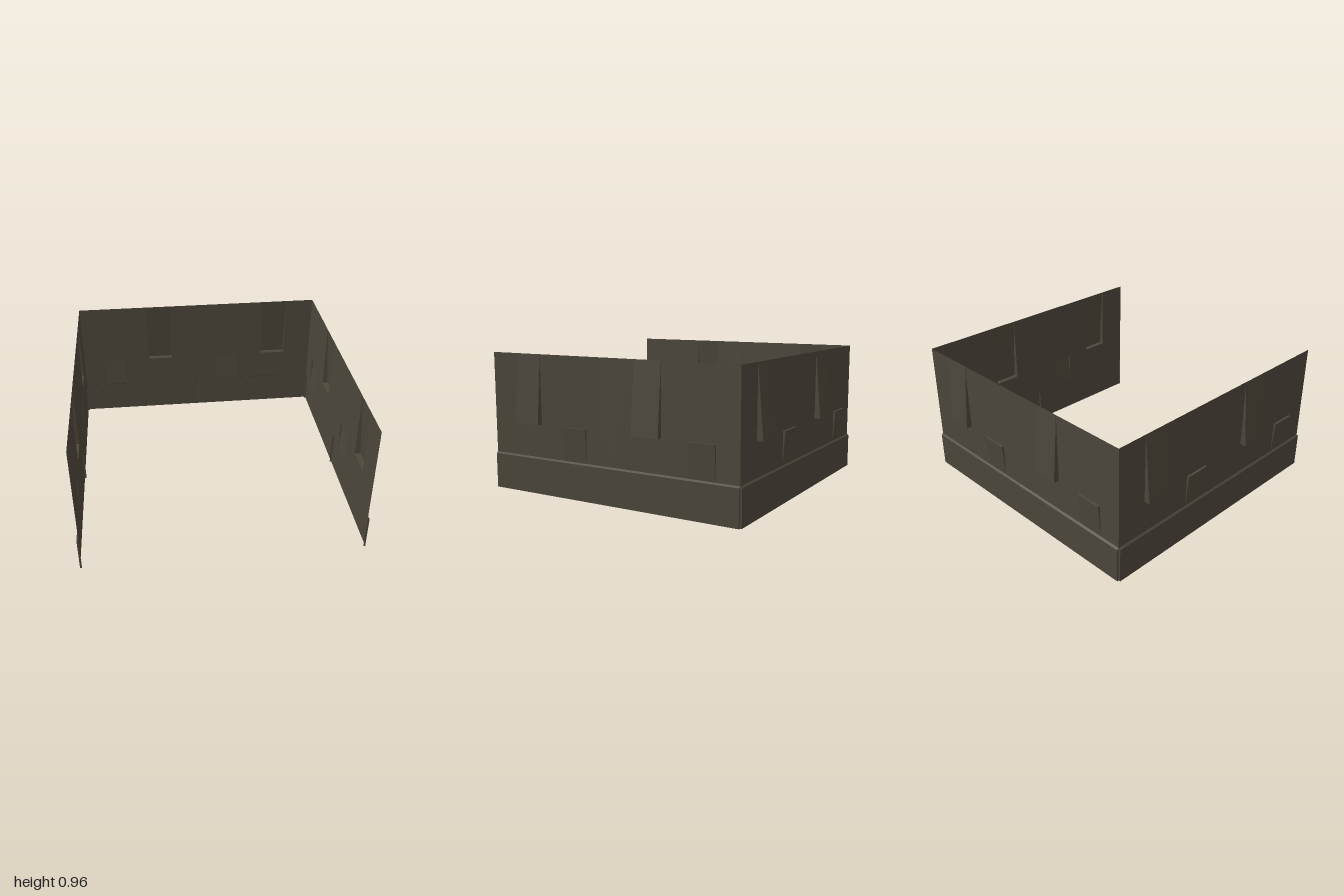
import * as THREE from 'three';

const PANEL = 0.958;    // length of one panel, two per wall
const TOP = 0.96;       // top edge of the sheet
const STEP = 0.255;     // bottom of the upper sheet, top of the skirt
const MID = 0.484;      // level where the louvres open
const SKIRT = 0.013;    // outward offset of the skirt
const BACK = -0.94;     // plane of the back wall
const tall = { u0: 0.54, u1: 0.738, tip: TOP, out: 0.041 };
const small = { u0: 0.16, u1: 0.343, tip: STEP, out: 0.017 };

// Flat faces (triangles or quads) from lists of corner points
function faces(list) {
  const pos = [];
  for (const f of list) {
    for (let i = 1; i < f.length - 1; i++) pos.push(...f[0], ...f[i], ...f[i + 1]);
  }
  const g = new THREE.BufferGeometry();
  g.setAttribute('position', new THREE.Float32BufferAttribute(pos, 3));
  g.computeVertexNormals();
  return g;
}

// Pressed louvre: sloping face, open-side ledge and two cheeks; outward is -z
function louvre({ u0, u1, tip, out }) {
  const a = [u0, tip, 0], b = [u1, tip, 0];
  const c = [u1, MID, -out], d = [u0, MID, -out];
  const e = [u1, MID, 0], f = [u0, MID, 0];
  return faces([[a, b, c, d], [d, c, e, f], [a, d, f], [b, e, c]]);
}

// Upper sheet, notched where the louvres are pressed out
function sheet() {
  const pts = [
    [0, STEP], [small.u0, STEP], [small.u0, MID], [small.u1, MID], [small.u1, STEP],
    [PANEL, STEP], [PANEL, TOP],
    [tall.u1, TOP], [tall.u1, MID], [tall.u0, MID], [tall.u0, TOP], [0, TOP],
  ];
  return new THREE.ShapeGeometry(new THREE.Shape(pts.map(p => new THREE.Vector2(...p))));
}

// Skirt: slanted ledge, hollow band and end returns
function skirt() {
  const low = STEP - 0.01;
  const end = u => [[u, 0, 0], [u, STEP, 0], [u, low, -SKIRT], [u, 0, -SKIRT]];
  const [a, b, c, d] = end(0), [e, f, g, h] = end(PANEL);
  return faces([[b, f, g, c], [c, g, h, d], [a, b, c, d], [e, h, g, f]]);
}

export function createModel() {
  const model = new THREE.Group();
  model.name = 'wallEnclosure';
  const metal = new THREE.MeshStandardMaterial({ color: 0x4c463a, side: THREE.DoubleSide });
  metal.name = 'dark olive metal';

  const parts = {
    upperSheet: sheet(),
    tallLouvre: louvre(tall),
    smallLouvre: louvre(small),
    skirt: skirt(),
  };

  // Each wall runs along its own x, outward to its own -z
  const walls = [
    ['rightWall', -PANEL, BACK + 2 * PANEL, Math.PI / 2],
    ['backWall', -PANEL, BACK, 0],
    ['leftWall', PANEL, BACK, -Math.PI / 2],
  ];
  for (const [name, x, z, turn] of walls) {
    const wall = new THREE.Group();
    wall.name = name;
    wall.position.set(x, 0, z);
    wall.rotation.y = turn;
    for (let i = 0; i < 2; i++) {
      const panel = new THREE.Group();
      panel.name = 'panel';
      panel.position.x = i * PANEL;
      for (const [part, geometry] of Object.entries(parts)) {
        const mesh = new THREE.Mesh(geometry, metal);
        mesh.name = part;
        panel.add(mesh);
      }
      wall.add(panel);
    }
    model.add(wall);
  }
  return model;
}
